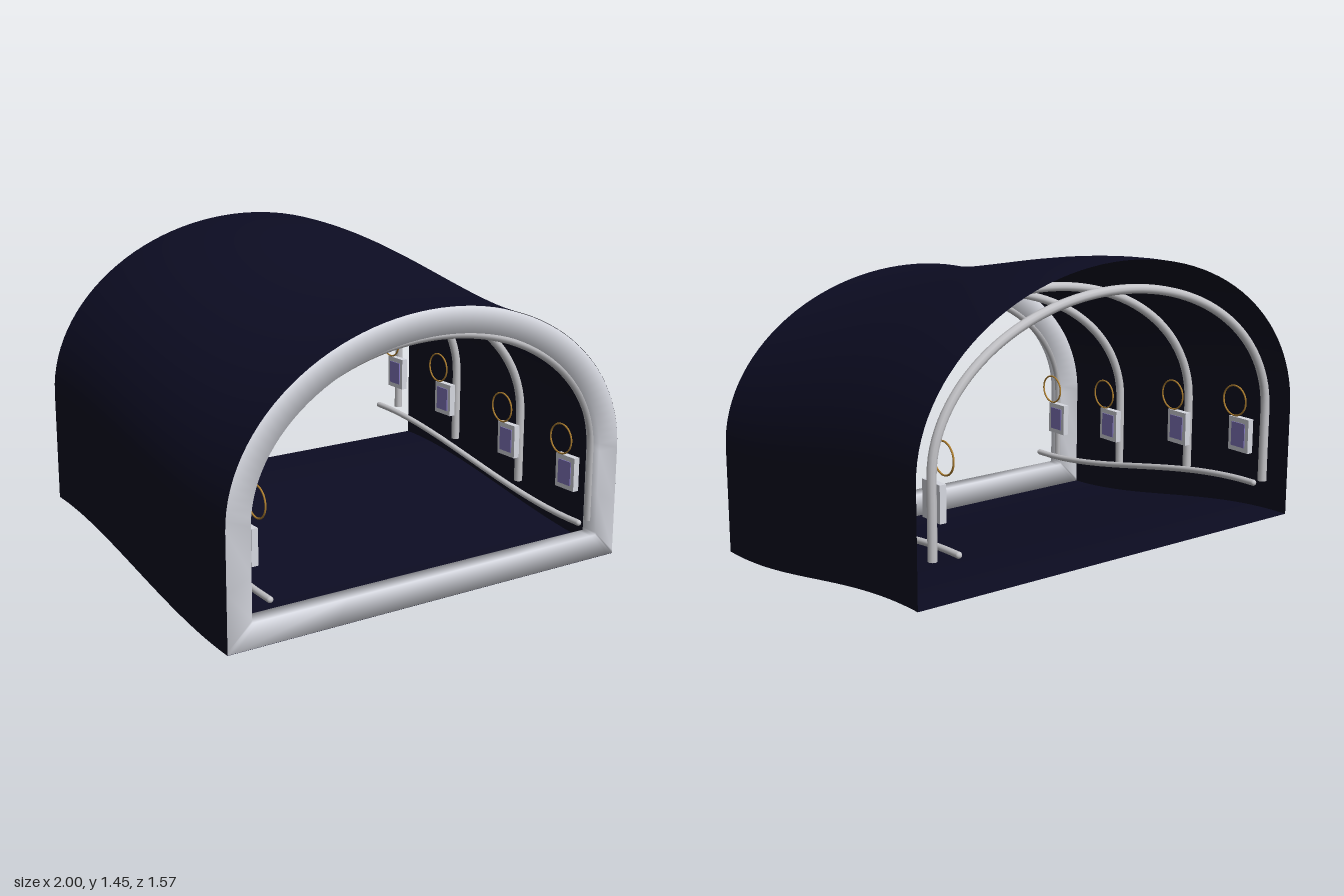
import * as THREE from 'three';

const HALF = 0.783, SPRING = 0.5;

const material = (name, color, side = THREE.FrontSide) => {
  const m = new THREE.MeshStandardMaterial({ color, side });
  m.name = name;
  return m;
};

// height of the floor: a gentle S-curve from front to back
const rise = (z) => {
  const t = THREE.MathUtils.clamp((HALF - z) / (2 * HALF), 0, 1);
  return 0.2 * t * t * (3 - 2 * t);
};

// arch outline: up the left wall, over the elliptical vault, down the right wall
function archOutline(w, bottom, top, n = 56) {
  const legs = [0, 0.03, 0.5].map((t) => new THREE.Vector2(w, bottom + t * (SPRING - bottom)));
  const vault = [];
  for (let i = 0; i <= n; i++) {
    const a = (i / n) * Math.PI;
    vault.push(new THREE.Vector2(w * Math.cos(a), SPRING + (top - SPRING) * Math.sin(a)));
  }
  const mirrored = legs.map((p) => new THREE.Vector2(-p.x, p.y)).reverse();
  return [...legs, ...vault, ...mirrored];
}

// surface through rows of points, optionally closed both ways
function skin(rows, closed = false) {
  const R = rows.length, C = rows[0].length, index = [];
  for (let i = 0; i < (closed ? R : R - 1); i++) {
    for (let j = 0; j < (closed ? C : C - 1); j++) {
      const i2 = (i + 1) % R, j2 = (j + 1) % C;
      const a = i * C + j, b = i2 * C + j, c = i2 * C + j2, d = i * C + j2;
      index.push(a, b, c, a, c, d);
    }
  }
  const geometry = new THREE.BufferGeometry().setFromPoints(rows.flat());
  geometry.setIndex(index);
  geometry.computeVertexNormals();
  return geometry;
}

export function createModel() {
  const navy = material('navy shell', 0x0c0c22, THREE.DoubleSide);
  const white = material('white trim', 0xd6d8e0);
  const silver = material('silver tube', 0xc4c4c8);
  const lavender = material('lavender screen', 0x8478c0);
  const gold = material('gold ring', 0xb08030);

  const model = new THREE.Group();
  model.name = 'archedTunnel';
  const add = (parent, name, geometry, mat, x = 0, y = 0, z = 0) => {
    const mesh = new THREE.Mesh(geometry, mat);
    mesh.name = name;
    mesh.position.set(x, y, z);
    parent.add(mesh);
    return mesh;
  };

  // vaulted shell and floor, both following the rise
  const stations = Array.from({ length: 33 }, (_, k) => HALF - (2 * HALF * k) / 32);
  const outer = archOutline(1, 0, 1.245);
  add(model, 'vault', skin(stations.map((z) =>
    outer.map((p) => new THREE.Vector3(p.x, p.y + rise(z), z)))), navy);
  add(model, 'floor', skin(stations.map((z) =>
    [-1, 0, 1].map((x) => new THREE.Vector3(x, rise(z), z)))), navy);

  // softly shaded entrance frame
  const sill = (w, y) => [-0.97, -0.5, 0, 0.5, 0.97].map((t) => new THREE.Vector2(w * t, y));
  const frameOut = [...archOutline(0.998, 0.002, 1.243), ...sill(0.998, 0.002)];
  const frameIn = [...archOutline(0.89, 0.11, 1.133), ...sill(0.89, 0.11)];
  const front = HALF + 0.002, back = HALF - 0.08;
  add(model, 'entranceFrame', skin(frameOut.map((o, i) => {
    const n = frameIn[i];
    return [
      new THREE.Vector3(o.x, o.y, front), new THREE.Vector3(n.x, n.y, front),
      new THREE.Vector3(n.x, n.y, back), new THREE.Vector3(o.x, o.y, back),
    ];
  }), true), white);

  // arched ribs
  const ribPath = new THREE.CatmullRomCurve3(
    archOutline(0.895, 0.165, 1.12, 32).map((p) => new THREE.Vector3(p.x, p.y, 0)));
  const ribGeometry = new THREE.TubeGeometry(ribPath, 90, 0.02, 10);
  const footGeometry = new THREE.CircleGeometry(0.02, 10).rotateX(Math.PI / 2);
  for (const z of [0.73, 0.243, -0.243, -0.73]) {
    const rib = new THREE.Group();
    rib.name = 'rib';
    rib.position.set(0, rise(z), z);
    add(rib, 'ribTube', ribGeometry, silver);
    for (const s of [-1, 1]) add(rib, 'ribFoot', footGeometry, silver, s * 0.895, 0.165, 0);
    model.add(rib);
  }

  // wall fittings on both sides
  const panelBox = new THREE.BoxGeometry(0.03, 0.155, 0.12);
  const screenBox = new THREE.BoxGeometry(0.006, 0.11, 0.08);
  const ringTorus = new THREE.TorusGeometry(0.068, 0.004, 8, 36).rotateY(Math.PI / 2);
  const railEnd = new THREE.SphereGeometry(0.014, 12, 8);
  for (const s of [-1, 1]) {
    const side = new THREE.Group();
    side.name = s > 0 ? 'leftFittings' : 'rightFittings';

    // low handrail
    const railPoints = stations.filter((_, k) => k % 2 === 0)
      .map((z) => new THREE.Vector3(s * 0.8, rise(z) + 0.18, z * 0.98));
    add(side, 'handrail', new THREE.TubeGeometry(
      new THREE.CatmullRomCurve3(railPoints), 48, 0.014, 10), silver);
    for (const p of [railPoints[0], railPoints[railPoints.length - 1]]) {
      add(side, 'handrailEnd', railEnd, silver, p.x, p.y, p.z);
    }

    // wall panels with screens, a hanging ring above each
    for (const z of [0.65, 0.24, -0.25, -0.65]) {
      const y = rise(z);
      add(side, 'panel', panelBox, white, s * 0.83, y + 0.378, z);
      add(side, 'screen', screenBox, lavender, s * 0.8135, y + 0.378, z);
      add(side, 'ring', ringTorus, gold, s * 0.785, y + 0.54, z);
    }
    model.add(side);
  }
  return model;
}
